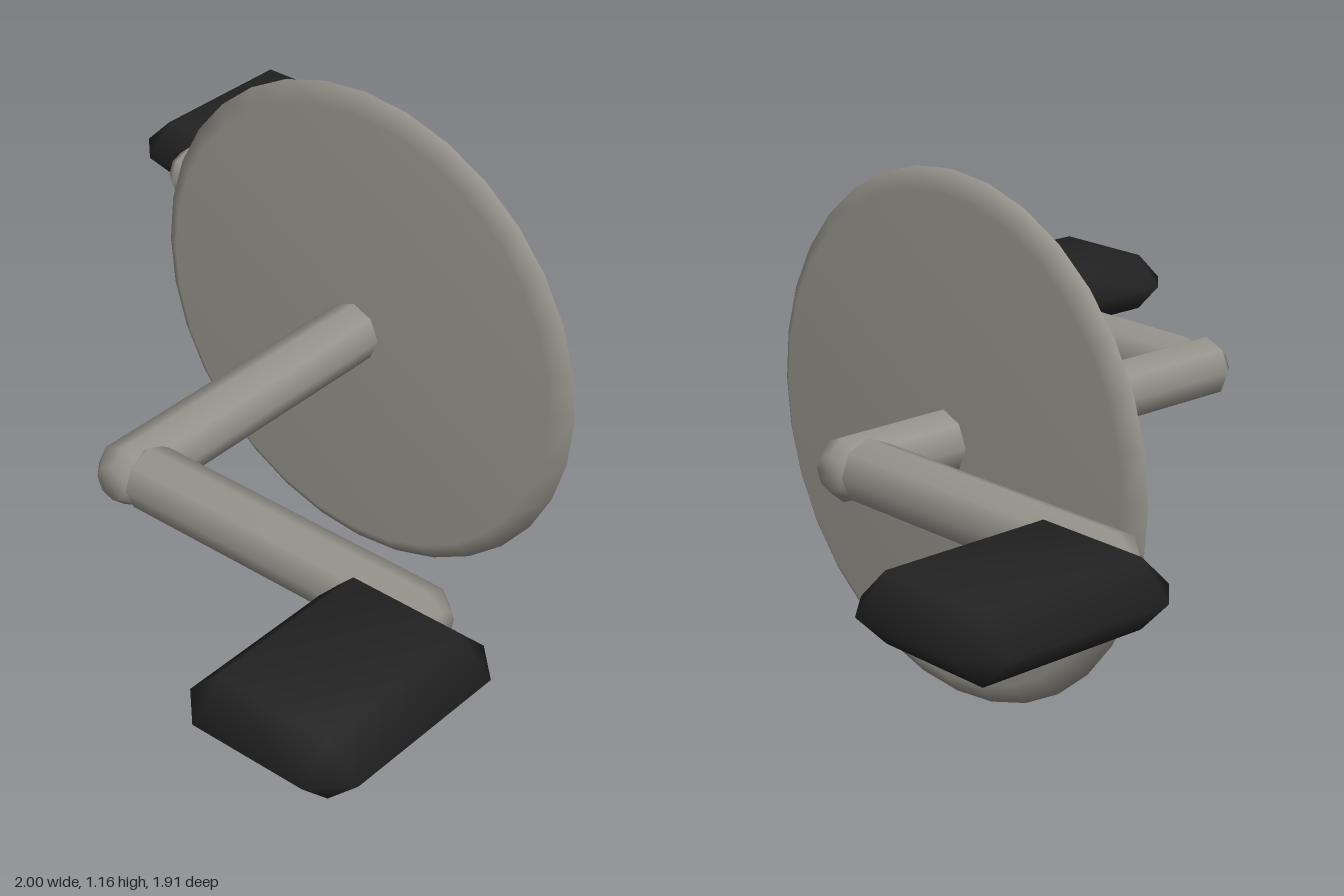
import * as THREE from 'three';
import { mergeVertices } from 'three/addons/utils/BufferGeometryUtils.js';
import { ConvexGeometry } from 'three/addons/geometries/ConvexGeometry.js';

const AXLE_Y = 0.58;

// Smooth solid of revolution about y, closed at both ends
function turned(profile, sides) {
  return new THREE.LatheGeometry(profile.map(([r, y]) => new THREE.Vector2(r, y)), sides);
}

// Eight-sided rod with chamfered ends
function rod(length) {
  const h = length / 2, r = 0.07, c = 0.035;
  return turned([[0, -h], [0.04, -h], [r, c - h], [r, h - c], [0.04, h], [0, h]], 8);
}

// Slab whose bevels meet at mid height, with cut corners in plan
function pedalGeometry(w, h, d, bevel) {
  const x = w / 2, y = h / 2, z = d / 2;
  const points = [];
  for (const sx of [-1, 1]) for (const sz of [-1, 1]) {
    points.push(new THREE.Vector3(sx * x, 0, sz * (z - bevel)));
    points.push(new THREE.Vector3(sx * (x - bevel), 0, sz * z));
    for (const sy of [-1, 1]) {
      points.push(new THREE.Vector3(sx * (x - bevel), sy * y, sz * (z - bevel)));
    }
  }
  const geometry = new ConvexGeometry(points);
  geometry.deleteAttribute('normal');
  const smooth = mergeVertices(geometry);
  smooth.computeVertexNormals();
  return smooth;
}

export function createModel() {
  const metal = new THREE.MeshStandardMaterial({ color: 0x96948c });
  metal.name = 'greyMetal';
  const rubber = new THREE.MeshStandardMaterial({ color: 0x222222 });
  rubber.name = 'blackRubber';

  const model = new THREE.Group();
  model.name = 'pedalCrank';

  function add(parent, name, geometry, material, x, y, z) {
    const mesh = new THREE.Mesh(geometry, material);
    mesh.name = name;
    mesh.position.set(x, y, z);
    parent.add(mesh);
  }

  // Axle and the wheel disc with its pointed rim
  add(model, 'axle', rod(1.13).rotateZ(-Math.PI / 2), metal, 0, AXLE_Y, 0);
  const disc = turned([[0, -0.03], [0.535, -0.03], [0.58, 0], [0.535, 0.03], [0, 0.03]], 32);
  add(model, 'disc', disc.rotateZ(-Math.PI / 2), metal, 0.23, AXLE_Y, 0);

  // Two opposite cranks, each an arm and a pedal
  const arm = rod(0.79).rotateX(Math.PI / 2);
  const pedal = pedalGeometry(0.52, 0.14, 0.4, 0.07);
  for (const side of ['right', 'left']) {
    const crank = new THREE.Group();
    crank.name = side + 'Crank';
    crank.position.y = AXLE_Y;
    crank.rotation.y = side === 'left' ? Math.PI : 0;
    add(crank, side + 'Arm', arm, metal, -0.495, 0, 0.4);
    add(crank, side + 'Pedal', pedal, rubber, -0.74, 0, 0.755);
    model.add(crank);
  }

  return model;
}
